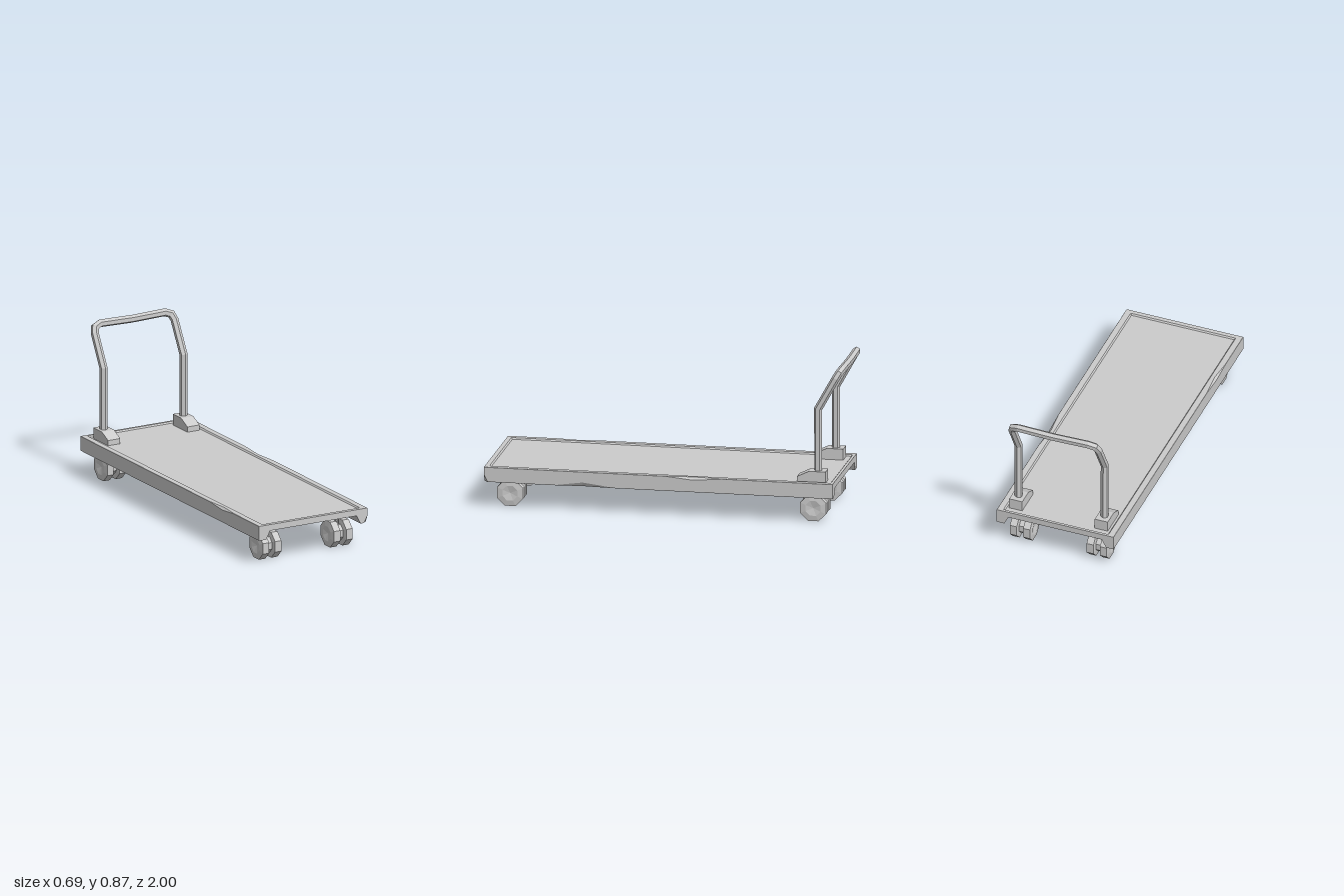
import * as THREE from 'three';

const material = new THREE.MeshStandardMaterial({ color: 0xcccccc, flatShading: true });

function add(parent, name, geometry, x = 0, y = 0, z = 0) {
  const mesh = new THREE.Mesh(geometry, material);
  mesh.name = name;
  mesh.position.set(x, y, z);
  parent.add(mesh);
  return mesh;
}

// Skin a list of rings (arrays of Vector3, counter-clockwise about the travel direction)
function loft(rings, capped) {
  const n = rings[0].length, index = [];
  for (let s = 0; s < rings.length - 1; s++) {
    for (let j = 0; j < n; j++) {
      const a = s * n + j, b = s * n + (j + 1) % n;
      index.push(a, b, b + n, a, b + n, a + n);
    }
  }
  if (capped) {
    const last = (rings.length - 1) * n;
    const flat = rings[0].map(p => new THREE.Vector2(p.x, p.y));
    for (const [a, b, c] of THREE.ShapeUtils.triangulateShape(flat, [])) index.push(a, c, b);
    const flatEnd = rings[rings.length - 1].map(p => new THREE.Vector2(p.x, p.y));
    for (const [a, b, c] of THREE.ShapeUtils.triangulateShape(flatEnd, [])) index.push(last + a, last + b, last + c);
  }
  const g = new THREE.BufferGeometry().setFromPoints(rings.flat());
  g.setIndex(index);
  const out = g.toNonIndexed();
  out.computeVertexNormals();
  return out;
}

// Deck: channel section with side skirts, recessed top and a few worn edges
function deckGeometry() {
  const chip = (z, from, peak, to, size) =>
    z <= from || z >= to ? 0 : size * (z < peak ? (z - from) / (peak - from) : (to - z) / (to - peak));
  const stations = [-0.95, -0.935, -0.928, -0.33, -0.17, -0.02, 0.27, 0.45, 0.46, 0.6, 0.73, 0.968, 0.975, 0.98, 1];
  const rings = stations.map(z => {
    const d = z > -0.93 && z < 0.97 ? 0.008 : 0;
    const t = 0.001 + chip(z, -0.33, -0.17, -0.02, 0.014);
    const u = 0.001 + chip(z, 0.46, 0.6, 0.73, 0.012);
    const b = 0.001 + chip(z, 0.27, 0.45, 0.6, 0.012) + (z === 1 ? 0.022 : 0);
    return [
      [0.275, 0.193], [0.3, 0.145], [0.344 - b, 0.145], [0.344, 0.145 + 1.8 * b],
      [0.344, 0.228 - t], [0.344 - t, 0.228], [0.31, 0.228], [0.303, 0.228 - d],
      [-0.303, 0.228 - d], [-0.31, 0.228], [-0.344 + u, 0.228], [-0.344, 0.228 - u],
      [-0.344, 0.145], [-0.3, 0.145], [-0.275, 0.193],
    ].map(([x, y]) => new THREE.Vector3(x, y, z));
  });
  return loft(rings, true);
}

// Bent bar: slide the ring along each segment to the mitre plane of the next corner
function barGeometry(path, radius, sides) {
  const dirs = path.slice(1).map((p, i) => p.clone().sub(path[i]).normalize());
  let ring = [];
  for (let i = 0; i < sides; i++) {
    const a = (i / sides) * Math.PI * 2;
    ring.push(new THREE.Vector3(Math.sin(a) * radius, 0, Math.cos(a) * radius).add(path[0]));
  }
  const rings = [ring];
  for (let i = 1; i < path.length; i++) {
    const dir = dirs[i - 1];
    const normal = dir.clone().add(dirs[i] ?? dir).normalize();
    ring = ring.map(p => p.clone().addScaledVector(
      dir, path[i].clone().sub(p).dot(normal) / dir.dot(normal)));
    rings.push(ring);
  }
  return loft(rings, false);
}

// Eight-sided wheel with a raised ring and a dished hub on each side, axle along x
function wheelGeometry() {
  const profile = [[0, -0.016], [0.045, -0.0245], [0.0785, -0.02], [0.0785, 0.02], [0.045, 0.0245], [0, 0.016]];
  return new THREE.LatheGeometry(profile.map(p => new THREE.Vector2(...p)), 8)
    .rotateY(Math.PI / 8).rotateZ(Math.PI / 2);
}

function createCaster(wheel) {
  const caster = new THREE.Group();
  caster.name = 'caster';
  for (const s of [-1, 1]) add(caster, 'wheel', wheel, s * 0.039, 0.0725, 0);
  const hub = new THREE.CylinderGeometry(0.049, 0.049, 0.04, 8).rotateY(Math.PI / 8).rotateZ(Math.PI / 2);
  add(caster, 'casterHub', hub, 0, 0.0725, 0);
  add(caster, 'casterStem', new THREE.CylinderGeometry(0.012, 0.012, 0.09, 8), 0, 0.15, 0);
  return caster;
}

// Wedge-fronted block that holds a handle post
function socketGeometry() {
  const shape = new THREE.Shape([[0.74, 0.215], [0.9, 0.215], [0.9, 0.282], [0.808, 0.282], [0.74, 0.25]]
    .map(p => new THREE.Vector2(...p)));
  return new THREE.ExtrudeGeometry(shape, { depth: 0.077, bevelEnabled: false })
    .translate(0, 0, -0.0385).rotateY(Math.PI / 2);
}

export function createModel() {
  const model = new THREE.Group();
  model.name = 'platformTrolley';

  add(model, 'deck', deckGeometry());

  // Casters at the four corners
  const wheel = wheelGeometry();
  for (const x of [-0.226, 0.226]) {
    for (const z of [-0.83, 0.865]) {
      const caster = createCaster(wheel);
      caster.position.set(x, 0, z);
      model.add(caster);
    }
  }

  // Handle sockets
  const socket = socketGeometry();
  for (const x of [-0.252, 0.252]) add(model, 'handleSocket', socket, x);

  // Push handle: upright posts, raked back above the bend, joined by a slightly sagging grip
  const side = [[0.253, 0.25, -0.852], [0.254, 0.63, -0.852], [0.253, 0.805, -0.949],
    [0.242, 0.834, -0.966], [0.205, 0.847, -0.976]];
  const path = [
    ...side.map(([x, y, z]) => new THREE.Vector3(-x, y, z)),
    new THREE.Vector3(0, 0.842, -0.976),
    ...side.map(p => new THREE.Vector3(...p)).reverse(),
  ];
  add(model, 'pushHandle', barGeometry(path, 0.022, 6));

  return model;
}
